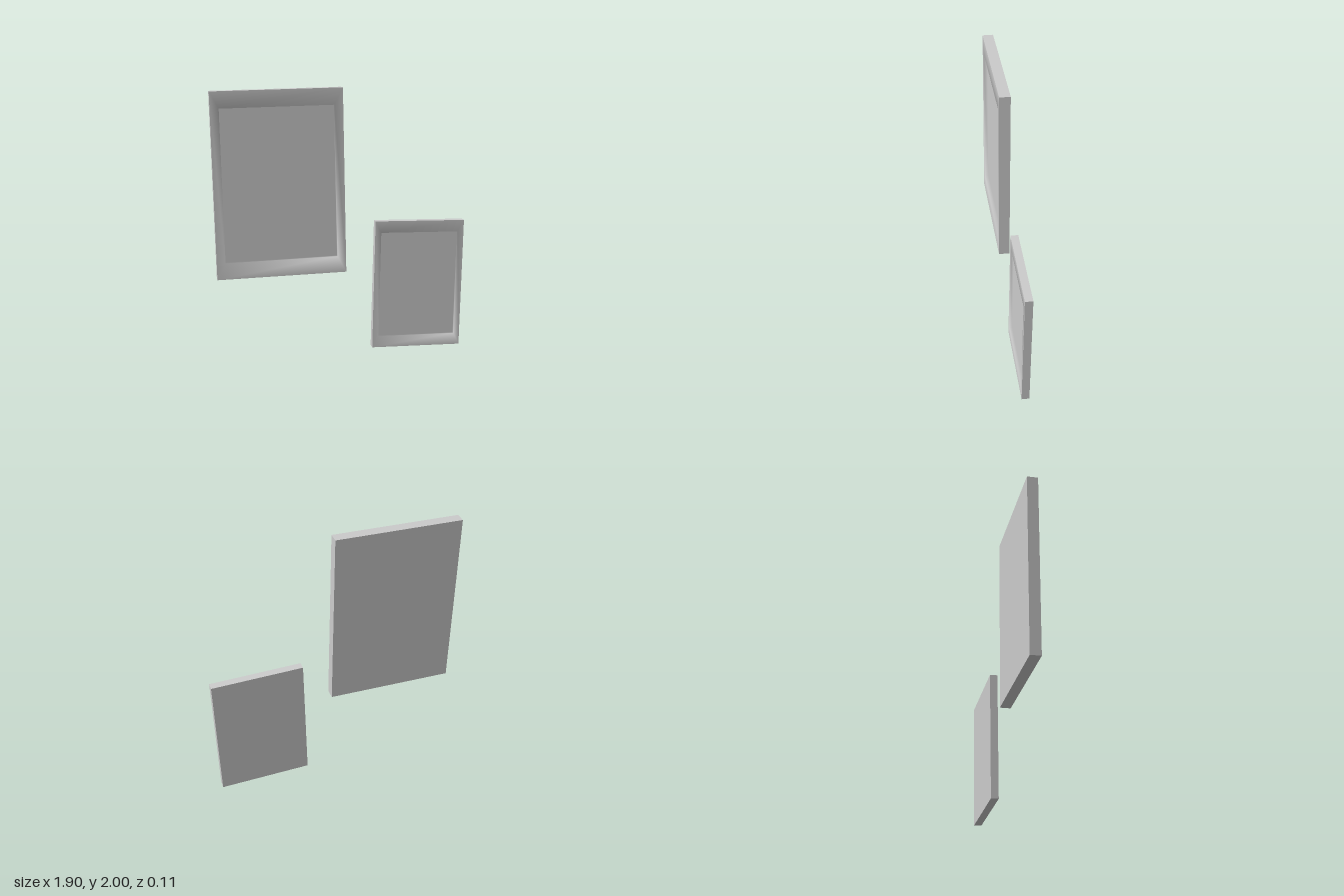
import * as THREE from 'three';

const W = 0.955, H = 1.363, D = 0.08;       // outer size of the large frame
const RIM_X = 0.064, RIM_Y = 0.122;         // rim widths at the sides and at top / bottom
const RECESS = 0.03;

// Box without its front face
function bodyGeometry() {
  const geo = new THREE.BoxGeometry(W, H, D);
  const index = Array.from(geo.index.array);
  index.splice(24, 6);
  geo.setIndex(index);
  geo.clearGroups();
  return geo;
}

// Front made of nested rectangles: outer edge, lip, sunken panel; the lip is softly shaded
function frontGeometry() {
  const corners = [[-1, -1], [1, -1], [1, 1], [-1, 1]];
  const rings = [
    { x: W / 2, y: H / 2, z: D / 2, tilt: 0 },
    { x: W / 2 - RIM_X, y: H / 2 - RIM_Y, z: D / 2, tilt: 0.4 },
    { x: W / 2 - RIM_X, y: H / 2 - RIM_Y, z: D / 2 - RECESS, tilt: 0 },
  ];
  const position = [], normal = [], index = [];
  for (const r of rings) {
    for (const [sx, sy] of corners) {
      position.push(sx * r.x, sy * r.y, r.z);
      normal.push(...new THREE.Vector3(-sx * r.tilt, -sy * r.tilt, 1).normalize().toArray());
    }
  }
  for (let r = 0; r < 2; r++) {
    for (let i = 0; i < 4; i++) {
      const a = r * 4 + i, b = r * 4 + (i + 1) % 4;
      index.push(a, b, b + 4, a, b + 4, a + 4);
    }
  }
  index.push(8, 9, 10, 8, 10, 11);
  const geo = new THREE.BufferGeometry();
  geo.setAttribute('position', new THREE.Float32BufferAttribute(position, 3));
  geo.setAttribute('normal', new THREE.Float32BufferAttribute(normal, 3));
  geo.setIndex(index);
  return geo;
}

export function createModel() {
  const model = new THREE.Group();
  model.name = 'pictureFrames';
  const material = new THREE.MeshStandardMaterial({ color: 0xcccccc });
  const body = bodyGeometry(), front = frontGeometry();

  // Two frames of the same design, each hanging slightly crooked
  function addFrame(name, scale, position, rotation) {
    const frame = new THREE.Group();
    frame.name = name;
    const parts = { frameBody: body, recessedFront: front };
    for (const [part, geo] of Object.entries(parts)) {
      const mesh = new THREE.Mesh(geo, material);
      mesh.name = part;
      frame.add(mesh);
    }
    frame.scale.setScalar(scale);
    frame.position.set(...position);
    frame.rotation.set(...rotation);
    model.add(frame);
  }
  addFrame('largeFrame', 1, [-0.465, 1.31, 0.006], [-0.007, -0.005, 0.018]);
  addFrame('smallFrame', 0.722, [0.592, 0.5, -0.021], [-0.009, -0.005, -0.0215]);
  return model;
}
